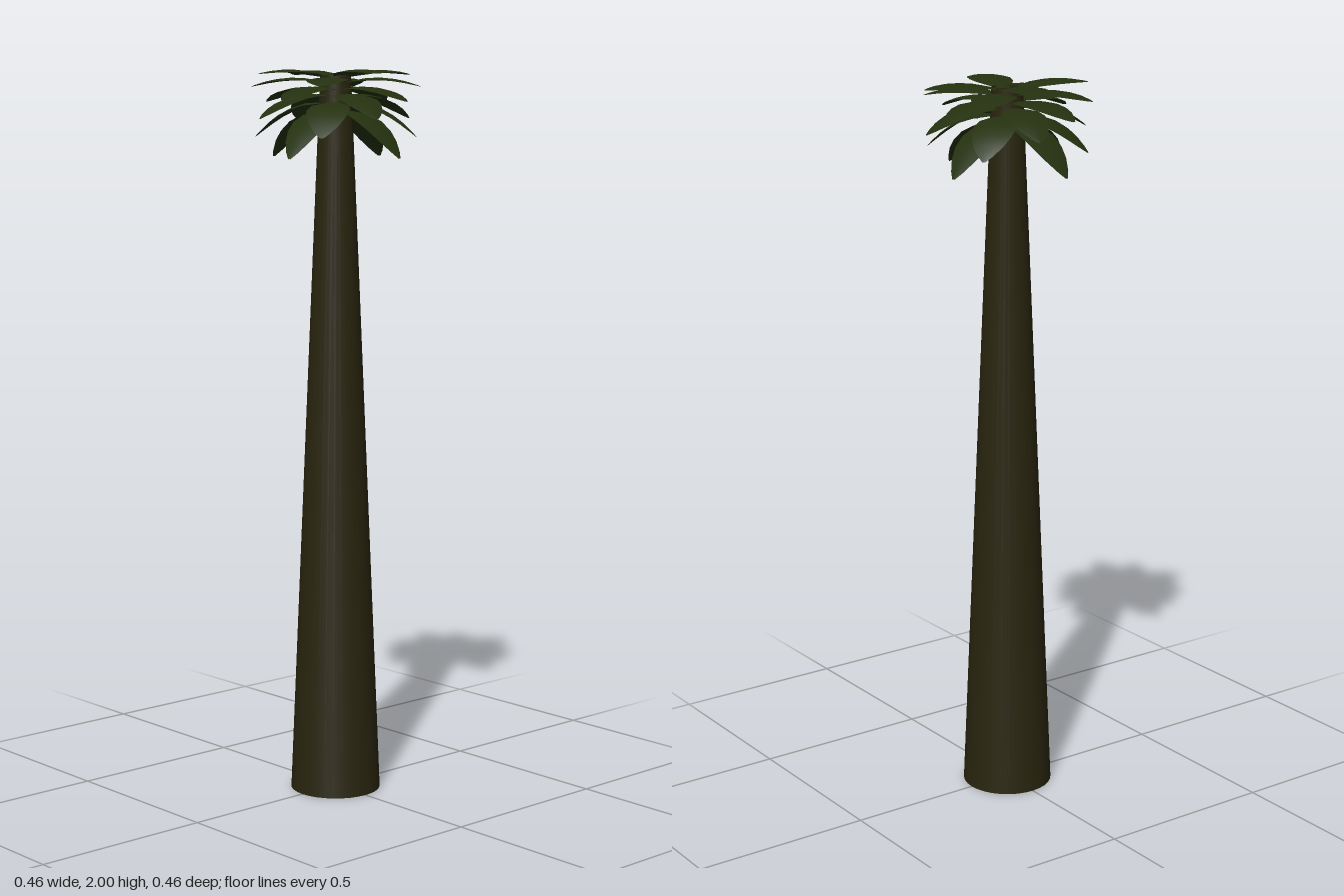
import * as THREE from 'three';

const barkMaterial = new THREE.MeshStandardMaterial({ color: 0x29250f, side: THREE.DoubleSide });
barkMaterial.name = 'dark bark';
const leafMaterial = new THREE.MeshStandardMaterial({ color: 0x24310f, side: THREE.DoubleSide });
leafMaterial.name = 'dark green leaf';

// Leaf outline: fraction of length, half width
const OUTLINE = [[0, 0.014], [0.1, 0.03], [0.3, 0.052], [0.48, 0.058], [0.66, 0.052], [0.8, 0.04], [0.93, 0.02], [1, 0.004]];
const ROOT_RADIUS = 0.022;

// Leaf tiers from top to bottom; rise sets how far each leaf arches up before drooping
const TIERS = [
  { angle: 13.7, rootY: 1.98, tipY: 1.988, rise: 0.07, tipR: 0.233 },
  { angle: 51.5, rootY: 1.965, tipY: 1.955, rise: 0.065, tipR: 0.233 },
  { angle: 77.6, rootY: 1.945, tipY: 1.915, rise: 0.06, tipR: 0.233 },
  { angle: 13.7, rootY: 1.93, tipY: 1.87, rise: 0.05, tipR: 0.229 },
  { angle: 51.5, rootY: 1.91, tipY: 1.82, rise: 0.04, tipR: 0.222 },
  { angle: 77.6, rootY: 1.89, tipY: 1.765, rise: 0.029, tipR: 0.21 },
];

// Arched leaf pointing along +z, slightly cambered across its width
function leafGeometry({ rootY, tipY, rise, tipR }) {
  const across = 4;
  const positions = [];
  const index = [];
  const drop = rise - (tipY - rootY);
  OUTLINE.forEach(([t, half], i) => {
    const z = ROOT_RADIUS + (tipR - ROOT_RADIUS) * t;
    const y = rootY + rise * t - drop * t * t;
    for (let j = 0; j <= across; j++) {
      const u = (j / across) * 2 - 1;
      positions.push(u * half, y - 0.12 * half * u * u, z);
      if (i > 0 && j > 0) {
        const d = i * (across + 1) + j, c = d - 1;
        const b = d - across - 1, a = b - 1;
        index.push(a, c, b, b, c, d);
      }
    }
  });
  const geometry = new THREE.BufferGeometry();
  geometry.setAttribute('position', new THREE.Float32BufferAttribute(positions, 3));
  geometry.setIndex(index);
  geometry.computeVertexNormals();
  return geometry;
}

export function createModel() {
  const model = new THREE.Group();
  model.name = 'palmTree';

  // Hollow tapering trunk, open at both ends
  const trunk = new THREE.Mesh(new THREE.CylinderGeometry(0.042, 0.125, 1.985, 32, 1, true), barkMaterial);
  trunk.name = 'trunk';
  trunk.position.y = 1.985 / 2;
  model.add(trunk);

  // Crown: four leaves in each tier
  const crown = new THREE.Group();
  crown.name = 'crown';
  TIERS.forEach((tier, n) => {
    const geometry = leafGeometry(tier);
    for (let k = 0; k < 4; k++) {
      const leaf = new THREE.Mesh(geometry, leafMaterial);
      leaf.name = `leafTier${n + 1}`;
      leaf.rotation.y = Math.PI - THREE.MathUtils.degToRad(tier.angle + 90 * k);
      crown.add(leaf);
    }
  });
  model.add(crown);
  return model;
}
